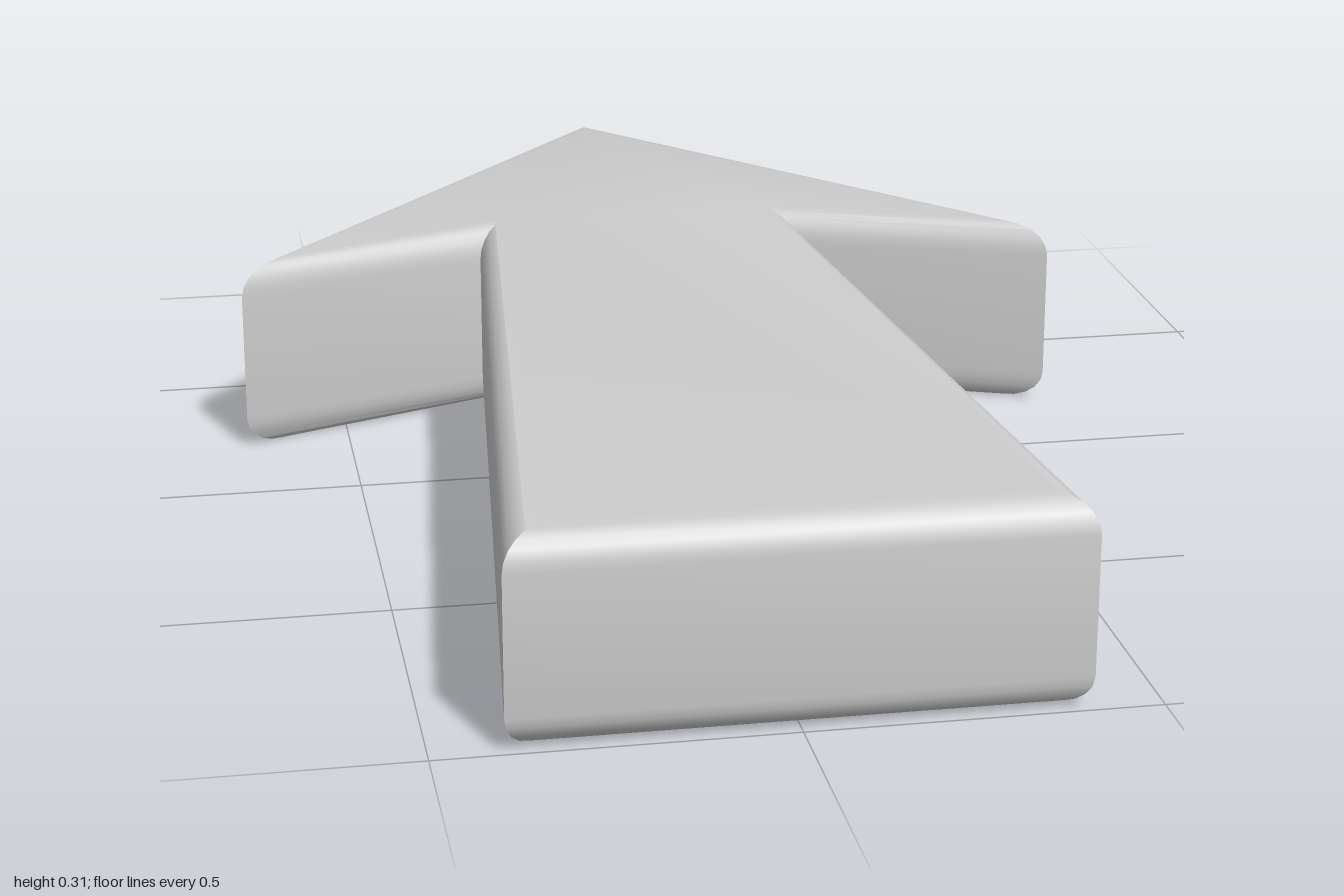
import * as THREE from 'three';
import { toCreasedNormals } from 'three/addons/utils/BufferGeometryUtils.js';

const HEIGHT = 0.305;
const BEVEL = 0.05;

export function createModel() {
  const group = new THREE.Group();
  group.name = 'arrow';

  // Right half of the outline, from base corner to barb; the left half mirrors it
  const half = [[0.4, -1], [0.265, 0.337], [0.665, 0.2]];
  const mirrored = half.map(([x, y]) => [-x, y]).reverse();
  const outline = [...half, [0, 1], ...mirrored].map(([x, y]) => new THREE.Vector2(x, y));

  // Thick slab with rounded top and bottom rims kept inside the outline
  const slab = new THREE.ExtrudeGeometry(new THREE.Shape(outline), {
    depth: HEIGHT - 2 * BEVEL,
    bevelThickness: BEVEL,
    bevelSize: BEVEL,
    bevelOffset: -BEVEL,
    bevelSegments: 5,
  });
  slab.translate(0, 0, BEVEL);
  slab.rotateX(-Math.PI / 2); // lay flat, tip towards the back

  const material = new THREE.MeshStandardMaterial({ color: 0xcccccc });
  const body = new THREE.Mesh(toCreasedNormals(slab, 0.6), material);
  body.name = 'arrowBody';
  group.add(body);
  return group;
}
